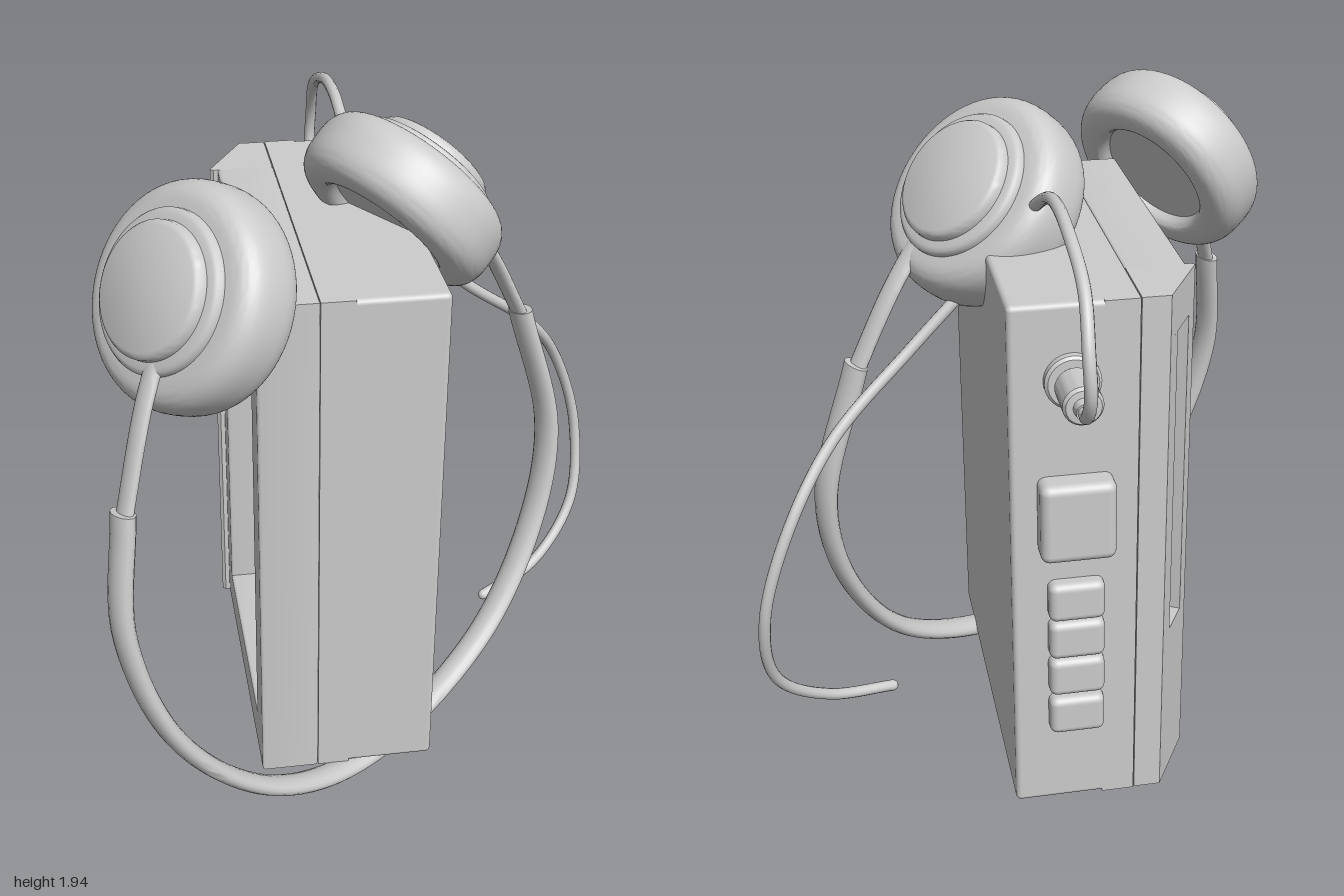
import * as THREE from 'three';
import { toCreasedNormals } from 'three/addons/utils/BufferGeometryUtils.js';
import { RoundedBoxGeometry } from 'three/addons/geometries/RoundedBoxGeometry.js';

const grey = new THREE.MeshStandardMaterial({ color: 0xcccccc });
grey.name = 'plain grey';

const V = (p) => new THREE.Vector3(...p);

function add(parent, name, geometry) {
  const mesh = new THREE.Mesh(geometry, grey);
  mesh.name = name;
  parent.add(mesh);
  return mesh;
}

// Rounded block given by its lower and upper corners
function block(parent, name, lo, hi, r) {
  const g = new RoundedBoxGeometry(hi[0] - lo[0], hi[1] - lo[1], hi[2] - lo[2], 3, r);
  add(parent, name, g).position.set((lo[0] + hi[0]) / 2, (lo[1] + hi[1]) / 2, (lo[2] + hi[2]) / 2);
}

function rectPath(path, x0, y0, x1, y1) {
  path.moveTo(x0, y0);
  path.lineTo(x1, y0);
  path.lineTo(x1, y1);
  path.lineTo(x0, y1);
  path.closePath();
  return path;
}

// Plate with a rectangular window, from depth z0 to z1
function framePlate(parent, name, outer, hole, z0, z1, bevel) {
  const b = bevel;
  const s = rectPath(new THREE.Shape(), outer[0] + b, outer[1] + b, outer[2] - b, outer[3] - b);
  s.holes.push(rectPath(new THREE.Path(), hole[0] - b, hole[1] - b, hole[2] + b, hole[3] + b));
  const g = new THREE.ExtrudeGeometry(s, {
    depth: z1 - z0 - 2 * b, bevelEnabled: b > 0, bevelSize: b, bevelThickness: b, bevelSegments: 3,
  });
  g.translate(0, 0, z0 + b);
  add(parent, name, toCreasedNormals(g, 0.6));
}

// Plan outline (x, z) raised from y0 to y1
function upright(parent, name, outline, y0, y1) {
  const s = new THREE.Shape(outline.map(([x, z]) => new THREE.Vector2(x, -z)));
  const g = new THREE.ExtrudeGeometry(s, { depth: y1 - y0, bevelEnabled: false });
  g.rotateX(-Math.PI / 2);
  add(parent, name, g).position.y = y0;
}

// Flattened oval section swept along a curve, wide axis kept along `side`
function sweep(points, a, b, side, steps = 80, n = 16) {
  const curve = new THREE.CatmullRomCurve3(points.map(V));
  const pos = [], idx = [];
  const rings = [[0, 0], [0, 1]];
  for (let i = 1; i < steps; i++) rings.push([i / steps, 1]);
  rings.push([1, 1], [1, 0]);
  for (const [t, k] of rings) {
    const c = curve.getPointAt(t), tan = curve.getTangentAt(t);
    const s = side.clone().addScaledVector(tan, -side.dot(tan)).normalize();
    const m = tan.clone().cross(s);
    for (let j = 0; j < n; j++) {
      const q = (j / n) * Math.PI * 2;
      const p = c.clone().addScaledVector(s, k * a * Math.cos(q)).addScaledVector(m, k * b * Math.sin(q));
      pos.push(p.x, p.y, p.z);
    }
  }
  for (let i = 0; i < rings.length - 1; i++) {
    for (let j = 0; j < n; j++) {
      const p = i * n + j, q = i * n + ((j + 1) % n);
      idx.push(p, q, p + n, q, q + n, p + n);
    }
  }
  const g = new THREE.BufferGeometry();
  g.setAttribute('position', new THREE.Float32BufferAttribute(pos, 3));
  g.setIndex(idx);
  return toCreasedNormals(g, 0.9);
}

// Round cable with a rounded free end
function cable(parent, name, points, r) {
  const curve = new THREE.CatmullRomCurve3(points.map(V));
  add(parent, name, new THREE.TubeGeometry(curve, 80, r, 12));
  add(parent, name + 'End', new THREE.SphereGeometry(r, 12, 8)).position.copy(V(points[points.length - 1]));
}

function lathe(profile, segments = 48) {
  return toCreasedNormals(new THREE.LatheGeometry(profile.map(([r, y]) => new THREE.Vector2(r, y)), segments), 0.6);
}

// Ear cup: padded ring with recessed speaker inside and stepped cap outside
function earCup(parent, name, centre, axis) {
  const soft = (v) => Math.sign(v) * Math.abs(v) ** 0.76;
  const profile = [[0, -0.065], [0.178, -0.065]];
  for (let d = -137; d <= 85; d += 6) {
    const q = (d * Math.PI) / 180, c = Math.cos(q);
    profile.push([0.214 + (c < 0 ? 0.04 : 0.086) * soft(c), 0.105 * soft(Math.sin(q))]);
  }
  profile.push([0.213, 0.106], [0.212, 0.118], [0.206, 0.126], [0.196, 0.13], [0.178, 0.132],
    [0.176, 0.15], [0.17, 0.158], [0.16, 0.163], [0, 0.166]);
  const cup = add(parent, name, lathe(profile, 64));
  cup.position.copy(V(centre));
  cup.quaternion.setFromUnitVectors(new THREE.Vector3(0, 1, 0), V(axis).normalize());
}

export function createModel() {
  const model = new THREE.Group();
  model.name = 'cassettePlayerWithHeadphones';

  // Player, turned on its base
  const player = new THREE.Group();
  player.name = 'player';
  player.rotation.y = -0.715;
  player.position.z = 0.007;
  model.add(player);
  const y0 = 0.066, y1 = 1.615, right = 0.517;
  block(player, 'backShell', [-0.6, y0, -0.311], [right, y1, -0.04], 0.015);
  framePlate(player, 'shellRim', [-0.6, y0, right, y1], [-0.22, 0.2, 0.38, 1.48], -0.06, 0.033, 0);
  framePlate(player, 'innerFrame', [-0.33, 0.15, 0.42, 1.53], [-0.22, 0.2, 0.38, 1.48], 0.033, 0.075, 0);
  framePlate(player, 'doorFrame', [-0.395, y0, right, y1], [-0.295, 0.192, 0.39, 1.488], 0.033, 0.2, 0.008);

  // Bevelled side rail with a long slot in its sloping face
  const rail = [[-0.597, 0.036], [-0.597, 0.113], [-0.4, 0.223], [-0.392, 0.213], [-0.392, 0.036]];
  const slot = [[-0.54, 0.145], [-0.526, 0.119], [-0.432, 0.1715], [-0.446, 0.1975]];
  const slotted = [...rail.slice(0, 2), ...slot, ...rail.slice(2)];
  upright(player, 'railBottom', rail, y0, 0.57);
  upright(player, 'railSlot', slotted, 0.57, 1.49);
  upright(player, 'railTop', rail, 1.49, y1);

  // Buttons on the end
  block(player, 'largeButton', [-0.673, 0.898, -0.24], [-0.58, 1.13, -0.035], 0.025);
  for (let i = 0; i < 4; i++) {
    const y = 0.693 - i * 0.122 - (i === 3 ? 0.008 : 0);
    block(player, 'smallButton', [-0.643, y, -0.215], [-0.58, y + 0.118, -0.06], 0.022);
  }

  // Socket collar and plug
  const plug = add(player, 'plug', lathe([[0, 0], [0.075, 0], [0.075, 0.025], [0.067, 0.032], [0.045, 0.032],
    [0.045, 0.04], [0.053, 0.048], [0.053, 0.16], [0.046, 0.17], [0.028, 0.172], [0.025, 0.2], [0, 0.2]], 32));
  plug.position.set(-0.595, 1.405, -0.145);
  plug.rotation.z = Math.PI / 2;

  // Headphones
  const phones = new THREE.Group();
  phones.name = 'headphones';
  model.add(phones);
  earCup(phones, 'frontEarCup', [0.112, 1.623, 0.573], [-0.09, 0.46, 0.88]);
  earCup(phones, 'rearEarCup', [0.205, 1.67, -0.175], [0.12, 0.63, -0.77]);

  const side = new THREE.Vector3(0.98, 0.13, 0.146).normalize();
  add(phones, 'headband', sweep([[0.187, 1.18, 0.92], [0.22, 0.83, 0.972], [0.3, 0.45, 0.87], [0.385, 0.14, 0.58],
    [0.43, 0.03, 0.2], [0.47, 0.2, -0.3], [0.475, 0.5, -0.545], [0.46, 0.83, -0.625], [0.385, 1.25, -0.54]],
  0.044, 0.027, side));
  add(phones, 'frontSlider', sweep([[0.155, 1.56, 0.74], [0.17, 1.42, 0.82], [0.19, 1.15, 0.925]], 0.032, 0.016, side, 20));
  add(phones, 'rearSlider', sweep([[0.3, 1.6, -0.34], [0.335, 1.45, -0.44], [0.39, 1.22, -0.545]], 0.032, 0.016, side, 20));

  // Cables
  cable(phones, 'plugCable', [[-0.49, 1.405, -0.615], [-0.535, 1.415, -0.66], [-0.575, 1.49, -0.695], [-0.565, 1.6, -0.69],
    [-0.5, 1.725, -0.625], [-0.36, 1.805, -0.51], [-0.22, 1.82, -0.39], [-0.11, 1.78, -0.3], [0, 1.7, -0.24]], 0.017);
  cable(phones, 'looseCable', [[0.16, 1.47, -0.31], [0.24, 1.31, -0.47], [0.305, 1.11, -0.72], [0.315, 0.9, -0.9],
    [0.355, 0.63, -0.98], [0.4, 0.38, -0.92], [0.39, 0.22, -0.73], [0.33, 0.165, -0.53]], 0.017);

  return model;
}
